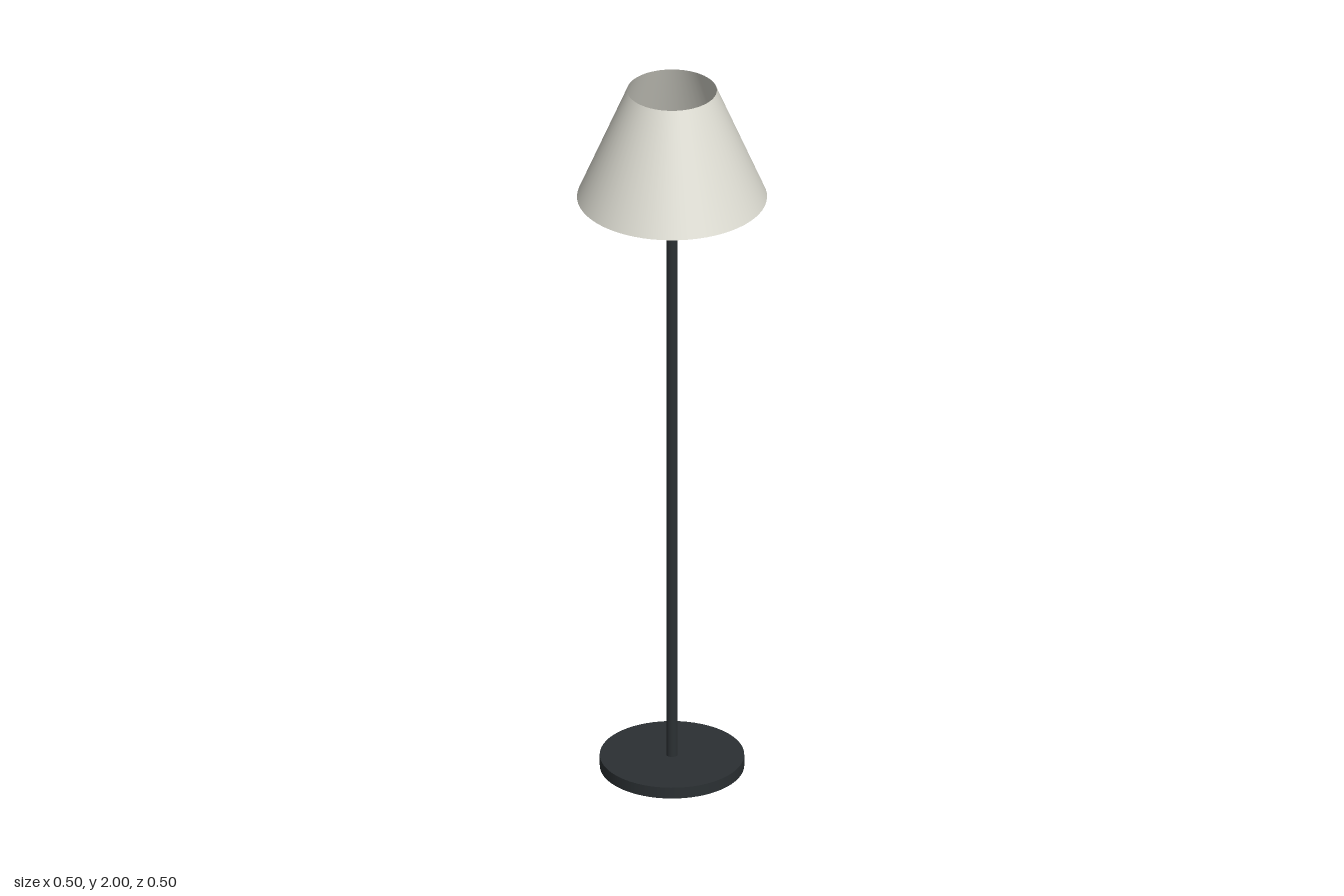
import * as THREE from 'three';

export function createModel() {
  const lamp = new THREE.Group();
  lamp.name = 'floorLamp';

  const dark = new THREE.MeshStandardMaterial({ color: 0x2b3033 });
  const cream = new THREE.MeshStandardMaterial({ color: 0xdddcd2 });
  const creamThin = new THREE.MeshStandardMaterial({ color: 0xdddcd2, side: THREE.DoubleSide });

  const add = (name, geometry, material, y) => {
    const mesh = new THREE.Mesh(geometry, material);
    mesh.name = name;
    mesh.position.y = y;
    lamp.add(mesh);
  };

  // Cylinder standing between two heights
  const column = (rTop, rBottom, y0, y1, open = false) =>
    new THREE.CylinderGeometry(rTop, rBottom, y1 - y0, 64, 1, open).translate(0, (y1 - y0) / 2, 0);

  // Weighted foot and pole
  add('base', column(0.19, 0.19, 0, 0.032), dark, 0);
  add('pole', column(0.015, 0.015, 0.032, 1.69), dark, 0.032);

  // Open conical shade
  add('shade', column(0.118, 0.25, 1.685, 2, true), creamThin, 1.685);

  // Diffuser disc just inside the lower rim, with the bulb above it
  add('diffuser', column(0.215, 0.215, 1.688, 1.694), cream, 1.688);
  add('bulb', new THREE.SphereGeometry(0.056, 32, 24), cream, 1.75);

  return lamp;
}
